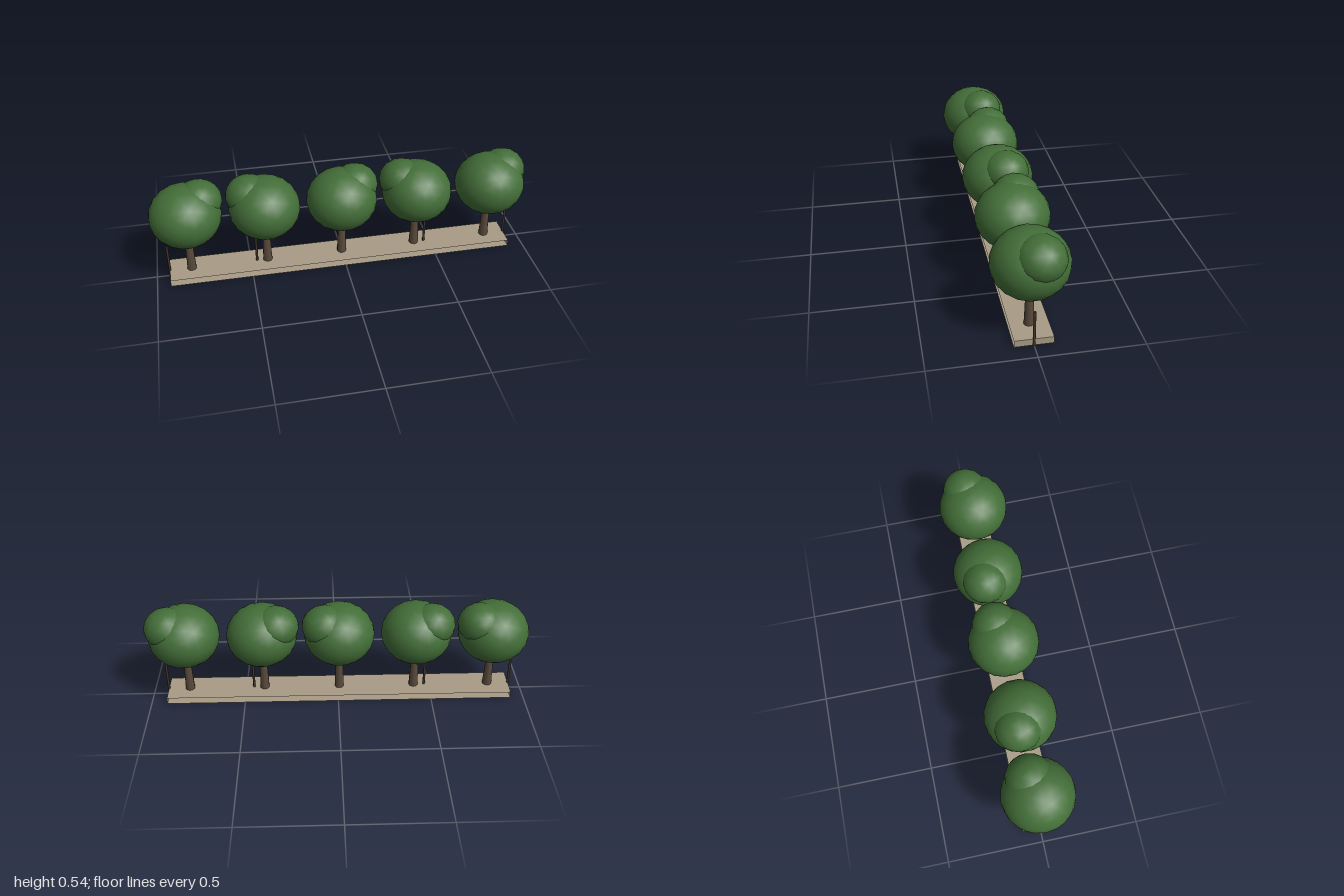
import * as THREE from 'three';

export function createModel() {
  const group = new THREE.Group();
  group.name = 'treeRow';

  const paint = (name, color) => {
    const m = new THREE.MeshStandardMaterial({ color });
    m.name = name;
    return m;
  };
  const leaf = paint('leaf green', 0x436e38);
  const bark = paint('bark brown', 0x5a4a3b);
  const wood = paint('dark post wood', 0x46392d);
  const sand = paint('sand stone', 0xa89c86);
  sand.side = THREE.DoubleSide;

  const add = (parent, name, geometry, material, x, y, z) => {
    const mesh = new THREE.Mesh(geometry, material);
    mesh.name = name;
    mesh.position.set(x, y, z);
    parent.add(mesh);
    return mesh;
  };

  const midX = -0.007;
  const length = 1.846, depth = 0.186, height = 0.035;

  // Planting strip: top, bottom and end panels, open along both long sides
  const strip = new THREE.Group();
  strip.name = 'plantingStrip';
  strip.position.x = midX;
  group.add(strip);
  const slab = new THREE.PlaneGeometry(length, depth);
  add(strip, 'stripTop', slab, sand, 0, height, 0).rotation.x = -Math.PI / 2;
  add(strip, 'stripBottom', slab, sand, 0, 0, 0).rotation.x = Math.PI / 2;
  const end = new THREE.PlaneGeometry(depth, height);
  for (const s of [-1, 1]) {
    add(strip, 'stripEnd', end, sand, s * length / 2, height / 2, 0).rotation.y = s * Math.PI / 2;
  }

  // Trees: tapered trunk, large crown and a smaller side crown that alternates sides
  const trunk = new THREE.CylinderGeometry(0.018, 0.025, 0.215, 10);
  const crown = new THREE.IcosahedronGeometry(0.185, 3).scale(1, 0.885, 1);
  const sideCrown = new THREE.IcosahedronGeometry(0.121, 2).scale(1, 0.885, 1);
  for (let i = 0; i < 5; i++) {
    const tree = new THREE.Group();
    tree.name = 'tree';
    tree.position.x = midX + (i - 2) * 0.404;
    group.add(tree);
    const side = i % 2 ? -1 : 1;
    add(tree, 'trunk', trunk, bark, 0, height + 0.1075, 0);
    add(tree, 'crown', crown, leaf, 0, 0.372, 0);
    add(tree, 'sideCrown', sideCrown, leaf, side * 0.075, 0.437, -0.028);
  }

  // Slim posts spaced evenly from end to end
  const post = new THREE.CylinderGeometry(0.0065, 0.0065, 0.187, 8);
  for (let i = 0; i < 5; i++) {
    add(group, 'post', post, wood, midX + (i - 2) * length / 4, 0.0935, 0);
  }

  return group;
}
